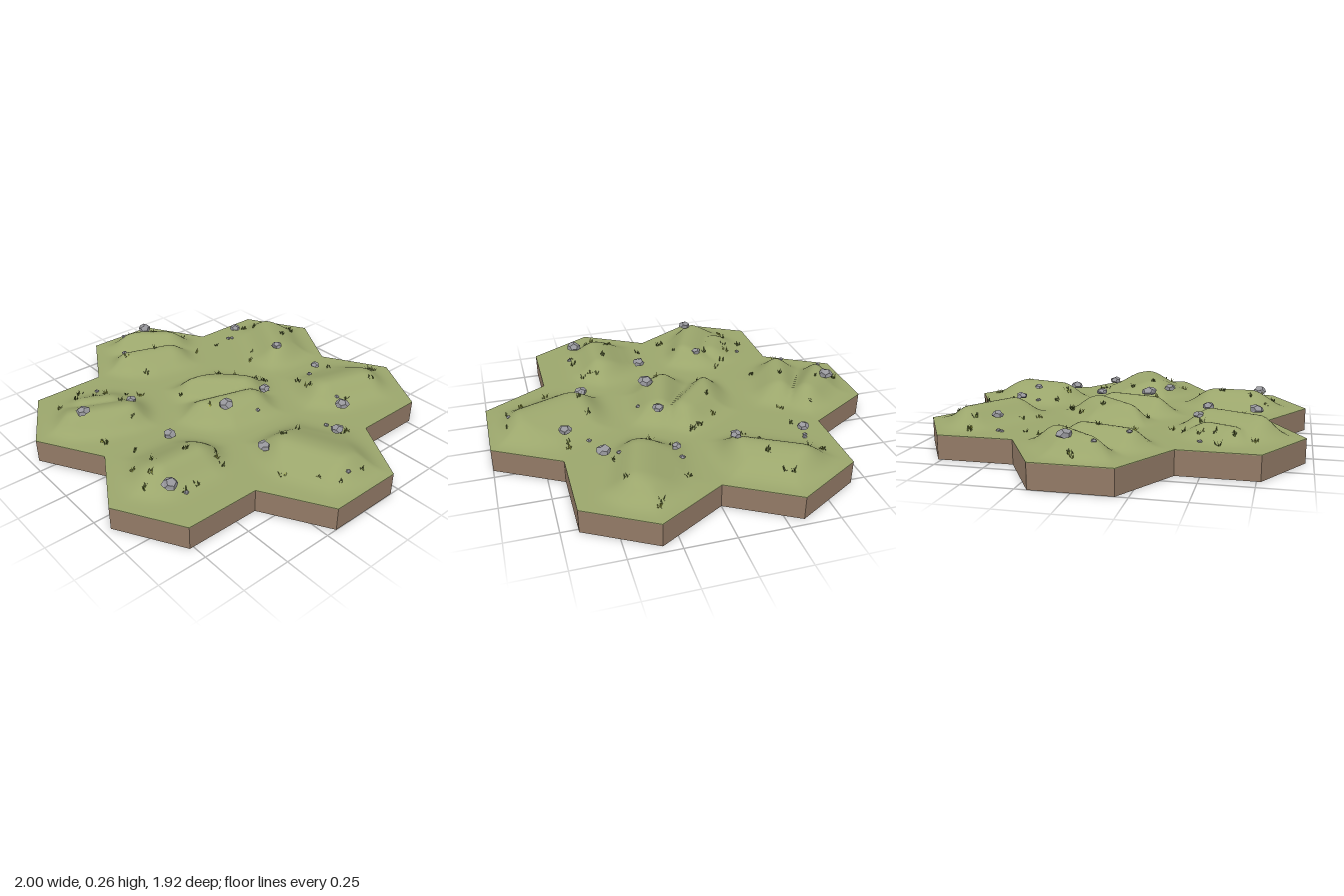
import * as THREE from 'three';
import { mergeGeometries, mergeVertices } from 'three/addons/utils/BufferGeometryUtils.js';

const R = 0.3849, APOTHEM = 1 / 3, TOP = 0.123, RISE = 0.092;
const mat = (name, color, side = THREE.FrontSide) => {
  const m = new THREE.MeshStandardMaterial({ color, side });
  m.name = name;
  return m;
};

// Seeded random numbers
let seed = 7;
const rnd = () => {
  seed = (seed * 16807) % 2147483647;
  return seed / 2147483647;
};

// Each tile: centre and ridges [x1, z1, x2, z2, height, steep width, gentle width]
const tiles = [
  { c: [0, 0], ridges: [[-0.19, 0.07, 0.0, -0.13, 1, 0.08, 0.16], [0.04, 0.17, 0.11, -0.08, 0.95, 0.14, 0.1]] },
  { c: [-0.667, 0], ridges: [[-0.85, 0.04, -0.7, -0.14, 1, 0.08, 0.14], [-0.66, 0.18, -0.58, -0.06, 0.9, 0.12, 0.09]] },
  { c: [0.667, 0], ridges: [[0.56, 0.08, 0.82, -0.02, 1, 0.13, 0.2]] },
  { c: [-0.333, -0.577], ridges: [[-0.42, -0.7, -0.17, -0.56, 1, 0.1, 0.17]] },
  { c: [0.333, -0.577], ridges: [[0.32, -0.46, 0.38, -0.68, 1, 0.1, 0.18]] },
  { c: [-0.333, 0.577], ridges: [[-0.3, 0.74, -0.19, 0.5, 1, 0.09, 0.15], [-0.42, 0.62, -0.36, 0.5, 0.65, 0.08, 0.1]] },
  { c: [0.333, 0.577], ridges: [[0.33, 0.66, 0.335, 0.46, 1, 0.09, 0.16]] },
];

// Ridge profile: steep on one side, gentle on the other
function ridgeHeight(x, z, [x1, z1, x2, z2, h, steep, gentle]) {
  const ux = x2 - x1, uz = z2 - z1, len = Math.hypot(ux, uz);
  const t = THREE.MathUtils.clamp(((x - x1) * ux + (z - z1) * uz) / (len * len), 0, 1);
  const d = Math.hypot(x - x1 - t * ux, z - z1 - t * uz);
  if (d < 1e-6) return h;
  const side = ((x - x1) * -uz + (z - z1) * ux) / (len * d);
  const w = (steep + gentle) / 2 + side * (steep - gentle) / 2;
  return h * Math.exp(-((d / w) ** 2));
}

// Hills fade to the flat rim of each tile
function tileHeight(x, z, { c, ridges }) {
  let inset = 1;
  for (let k = 0; k < 6; k++) {
    const a = k * Math.PI / 3;
    inset = Math.min(inset, APOTHEM - (x - c[0]) * Math.cos(a) - (z - c[1]) * Math.sin(a));
  }
  const fade = THREE.MathUtils.smoothstep(inset, 0, 0.17);
  return TOP + RISE * fade * Math.max(...ridges.map(r => ridgeHeight(x, z, r)));
}
const groundAt = (x, z) => Math.max(...tiles.map(t => tileHeight(x, z, t)));

// Triangular grid over the six sectors of every tile
function groundGeometry(n = 20) {
  const pos = [], index = [];
  for (const tile of tiles) {
    for (let k = 0; k < 6; k++) {
      const [a, b] = [k, k + 1].map(q => (q + 0.5) * Math.PI / 3);
      const ids = [];
      for (let i = 0; i <= n; i++) {
        ids.push([]);
        for (let j = 0; j <= n - i; j++) {
          const x = tile.c[0] + R * (i * Math.cos(a) + j * Math.cos(b)) / n;
          const z = tile.c[1] + R * (i * Math.sin(a) + j * Math.sin(b)) / n;
          ids[i].push(pos.length / 3);
          pos.push(x, tileHeight(x, z, tile), z);
        }
      }
      for (let i = 0; i < n; i++) {
        for (let j = 0; j < n - i; j++) {
          index.push(ids[i][j], ids[i][j + 1], ids[i + 1][j]);
          if (j < n - i - 1) index.push(ids[i + 1][j], ids[i][j + 1], ids[i + 1][j + 1]);
        }
      }
    }
  }
  let g = new THREE.BufferGeometry();
  g.setAttribute('position', new THREE.Float32BufferAttribute(pos, 3));
  g.setIndex(index);
  g = mergeVertices(g, 1e-4);
  g.computeVertexNormals();
  return g;
}

// Slab with the outline of all seven tiles
function slabGeometry(y0, y1) {
  const pts = [];
  for (let k = 0; k < 6; k++) {
    const t = k * Math.PI / 3;
    for (const q of [-1.5, -0.5, 0.5]) {
      const a = t + q * Math.PI / 3;
      pts.push(new THREE.Vector2(2 * APOTHEM * Math.cos(t) + R * Math.cos(a), 2 * APOTHEM * Math.sin(t) + R * Math.sin(a)));
    }
  }
  const g = new THREE.ExtrudeGeometry(new THREE.Shape(pts), { depth: y1 - y0, bevelEnabled: false });
  return g.rotateX(-Math.PI / 2).translate(0, y0, 0);
}

// Faceted boulder with a flattened base
function rockGeometry(r) {
  let g = new THREE.DodecahedronGeometry(r, 0);
  g.deleteAttribute('uv');
  g.deleteAttribute('normal');
  g = mergeVertices(g, 1e-4);
  const p = g.attributes.position;
  for (let i = 0; i < p.count; i++) {
    const s = 0.88 + 0.26 * rnd();
    p.setXYZ(i, p.getX(i) * s, Math.max(p.getY(i) * s * 0.72, -r * 0.3), p.getZ(i) * s);
  }
  g = g.toNonIndexed().rotateY(rnd() * 6.28);
  g.computeVertexNormals();
  return g;
}

// Tuft of pointed, leaning blades
function tuftGeometry(x, z) {
  const pos = [], y = groundAt(x, z) - 0.002, blades = 5 + Math.floor(rnd() * 3);
  for (let i = 0; i < blades; i++) {
    const a = rnd() * 6.28, c = Math.cos(a), s = Math.sin(a);
    const ox = x + (rnd() - 0.5) * 0.025, oz = z + (rnd() - 0.5) * 0.025;
    const w = 0.0045, h = 0.013 + rnd() * 0.018, lean = 0.006 + rnd() * 0.012;
    pos.push(ox - s * w, y, oz + c * w, ox + s * w, y, oz - c * w, ox + c * lean, y + h, oz + s * lean);
  }
  const g = new THREE.BufferGeometry();
  g.setAttribute('position', new THREE.Float32BufferAttribute(pos, 3));
  g.computeVertexNormals();
  return g;
}

// Rocks: x, z, radius, and optional height of the centre
const rocks = [
  [-0.85, -0.07, 0.037, 0.213], [-0.51, -0.52, 0.03, 0.2], [-0.15, -0.53, 0.03, 0.222],
  [0.15, -0.54, 0.024, 0.215], [0.48, -0.41, 0.037, 0.168], [0.63, -0.2, 0.034, 0.18],
  [0.14, -0.16, 0.031, 0.205], [0.14, 0.11, 0.04, 0.218], [0.49, 0.17, 0.033, 0.175],
  [-0.25, 0.44, 0.028, 0.19], [-0.26, 0.72, 0.036, 0.235], [0.1, 0.445, 0.034, 0.16],
  [0.44, 0.7, 0.039, 0.188], [-0.54, -0.49, 0.012], [-0.53, -0.51, 0.012], [0.12, -0.535, 0.014],
  [0.41, -0.445, 0.012], [0.52, -0.245, 0.012], [0.22, -0.04, 0.012], [-0.87, 0.07, 0.013],
  [-0.69, 0.185, 0.014], [-0.53, 0.48, 0.012], [0.48, 0.64, 0.012], [0.89, 0.01, 0.012],
];

// Tuft places: x, z
const darkTufts = [
  [-0.33, -0.81], [-0.57, -0.64], [-0.48, -0.65], [-0.26, -0.68], [-0.31, -0.47], [-0.52, -0.37], [-0.3, -0.79],
  [0.3, -0.84], [0.13, -0.68], [0.43, -0.69], [0.44, -0.48], [0.14, -0.42], [0.25, -0.4], [-0.68, -0.24],
  [-0.92, -0.02], [-0.79, -0.08], [-0.62, 0.02], [-0.5, 0.16], [0, -0.3], [-0.05, -0.27], [-0.15, -0.08],
  [-0.17, 0.16], [0.62, -0.25], [0.49, -0.06], [0.51, 0.06], [0.91, -0.07], [0.9, 0.07], [-0.39, 0.385],
  [-0.31, 0.46], [-0.46, 0.54], [-0.49, 0.64], [-0.13, 0.51], [0.06, 0.63], [0.37, 0.37], [0.44, 0.385],
  [0.3, 0.5], [0.47, 0.57], [0.25, 0.66], [0.36, 0.78], [0.47, 0.64], [-0.57, 0.57], [-0.09, 0.71],
];
const lightTufts = [
  [-0.24, -0.4], [0.32, -0.86], [0.24, -0.39], [-0.52, -0.22], [-0.65, 0.2], [-0.14, -0.2], [0.07, 0.17],
  [0.63, -0.28], [0.68, 0.23], [0.82, 0.12], [-0.34, 0.32], [-0.45, 0.47], [-0.5, 0.73], [-0.11, 0.72],
  [0.22, 0.75], [0.33, 0.72], [0.4, 0.4], [-0.94, -0.01], [-0.56, -0.65],
];

export function createModel() {
  const model = new THREE.Group();
  const grass = mat('grass green', 0x9ba66c);
  const add = (name, geometry, material) => {
    const m = new THREE.Mesh(geometry, material);
    m.name = name;
    model.add(m);
  };

  add('soilBase', slabGeometry(0, 0.119), mat('soil brown', 0x927a66));
  add('turfEdge', slabGeometry(0.119, 0.1225), grass);
  add('hillyGround', groundGeometry(), grass);

  // Boulders and pebbles
  add('rocks', mergeGeometries(rocks.map(([x, z, r, y]) =>
    rockGeometry(r).translate(x, y ?? groundAt(x, z) + r * 0.25, z))), mat('stone grey', 0x97979c));

  // Grass tufts
  const tufts = list => mergeGeometries(list.map(([x, z]) => tuftGeometry(x, z)));
  add('darkGrassTufts', tufts(darkTufts), mat('dark olive', 0x5c6a30, THREE.DoubleSide));
  add('lightGrassTufts', tufts(lightTufts), mat('yellow green', 0x9aa342, THREE.DoubleSide));
  return model;
}
